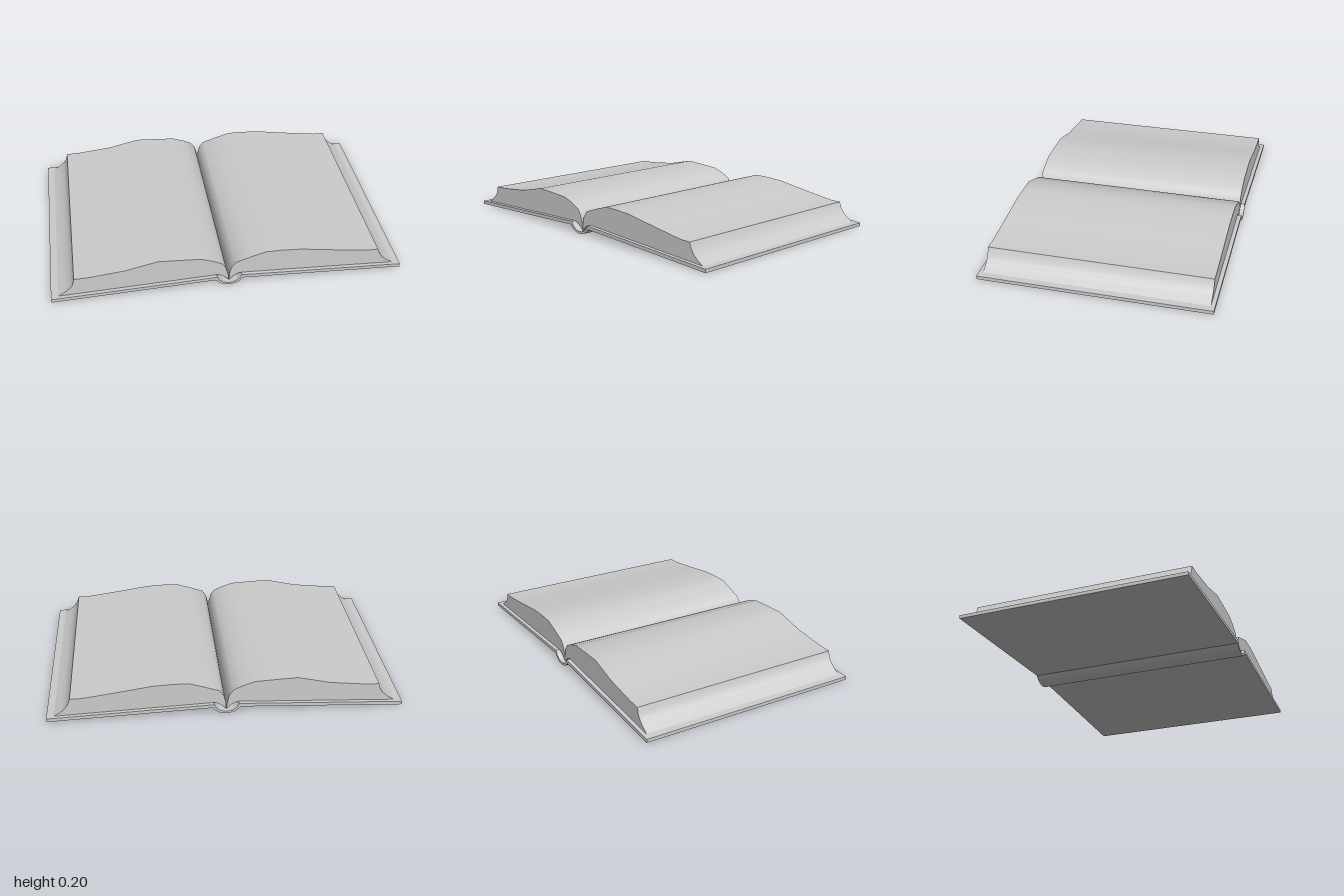
import * as THREE from 'three';
import { toCreasedNormals } from 'three/addons/utils/BufferGeometryUtils.js';

const COVER_DEPTH = 1.31, PAGE_DEPTH = 1.264;

export function createModel() {
  const book = new THREE.Group();
  book.name = 'openBook';
  const material = new THREE.MeshStandardMaterial({ color: 0xcccccc });

  // Extrudes an x-y outline along z, centred on z = 0
  function addSlab(name, outline, depth, crease) {
    const shape = new THREE.Shape(outline.map(([x, y]) => new THREE.Vector2(x, y)));
    const geometry = new THREE.ExtrudeGeometry(shape, { depth, bevelEnabled: false });
    geometry.translate(0, 0, -depth / 2);
    const mesh = new THREE.Mesh(toCreasedNormals(geometry, crease), material);
    mesh.name = name;
    book.add(mesh);
  }
  const mirror = (points) => points.map(([x, y]) => [-x, y]);

  // Cover boards, rising gently towards the spine
  const board = [[1, 0], [1, 0.02], [0.07, 0.06], [0.07, 0.04]];
  addSlab('leftBoard', board, COVER_DEPTH, 0.4);
  addSlab('rightBoard', mirror(board), COVER_DEPTH, 0.4);

  // Curved spine strip sagging between the boards
  const outer = [[0.078, 0.04], [0.062, 0.022], [0.04, 0.008], [0.018, 0.002], [0, 0]];
  const inner = [[0.07, 0.058], [0.058, 0.037], [0.038, 0.022], [0.018, 0.015], [0, 0.013]];
  const across = (half) => [...half, ...mirror(half).reverse().slice(1)];
  addSlab('spine', [...across(outer), ...across(inner).reverse()], COVER_DEPTH, 0.7);

  // Underside of a page block: along the board, then curving into the gutter
  const underside = [[0.07, 0.06], [0.045, 0.052], [0.02, 0.035], [0, 0.014]];

  // Left page block: gutter, top leaf, hollow fore edge
  addSlab('leftPages', [
    ...underside, [0.003, 0.06], [0.013, 0.1], [0.038, 0.135], [0.12, 0.163],
    [0.21, 0.191], [0.3, 0.191], [0.41, 0.185], [0.6, 0.156], [0.8, 0.128], [0.865, 0.127],
    [0.877, 0.095], [0.897, 0.065], [0.92, 0.045], [0.96, 0.0217],
  ], PAGE_DEPTH, 0.75);

  // Right page block: its leaves lie a little differently
  addSlab('rightPages', mirror([
    ...underside, [0.006, 0.06], [0.018, 0.105], [0.04, 0.135], [0.09, 0.16],
    [0.16, 0.184], [0.28, 0.191], [0.4, 0.197], [0.585, 0.155], [0.79, 0.133], [0.865, 0.131],
    [0.875, 0.092], [0.892, 0.07], [0.92, 0.045], [0.96, 0.0217],
  ]), PAGE_DEPTH, 0.75);

  return book;
}
